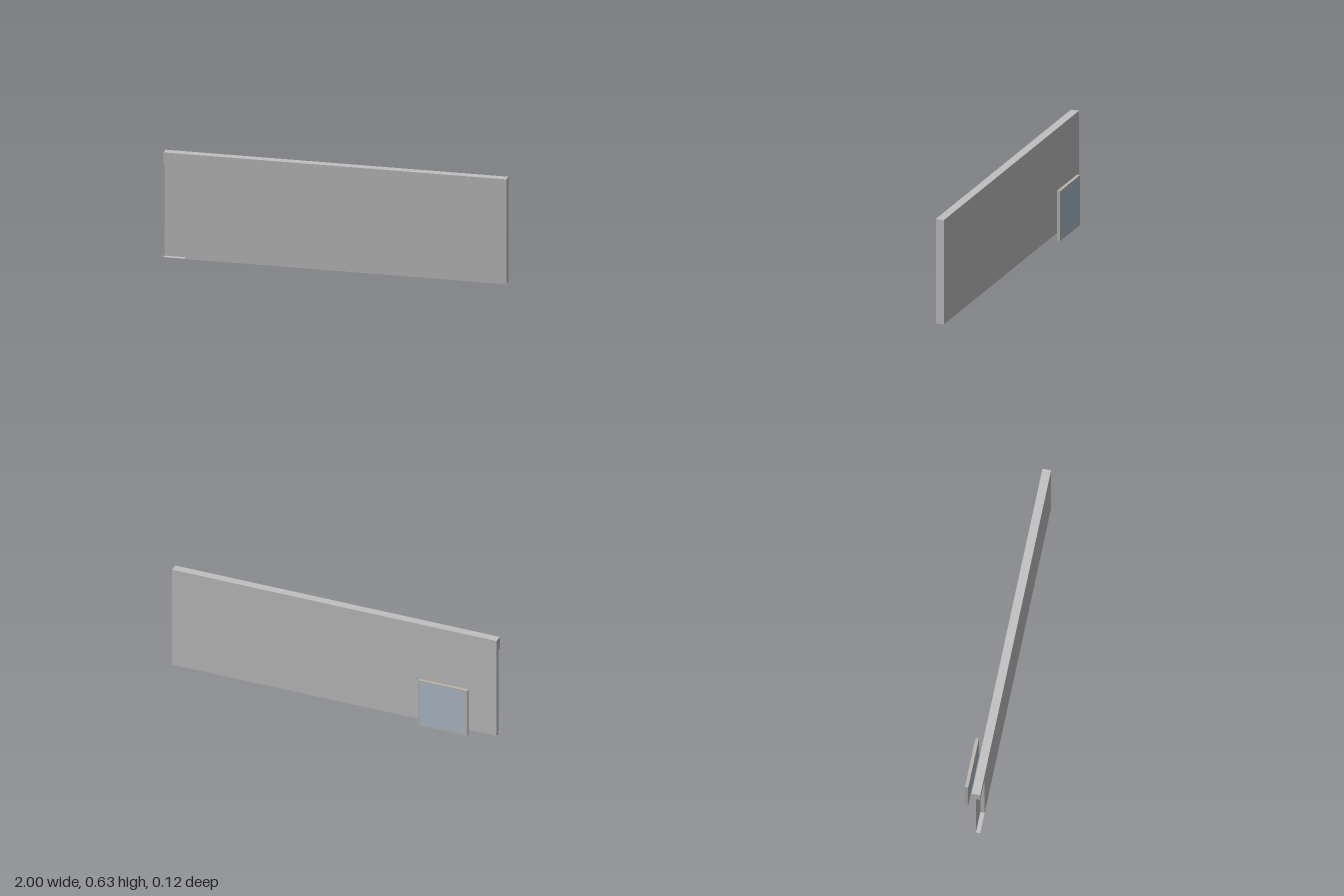
import * as THREE from 'three';

const wallGrey = new THREE.MeshStandardMaterial({ color: 0xc0c0c0 });
wallGrey.name = 'wallGrey';
const frameGrey = new THREE.MeshStandardMaterial({ color: 0xbab4ac });
frameGrey.name = 'frameGrey';
const paleBlue = new THREE.MeshStandardMaterial({ color: 0xb0bfcc });
paleBlue.name = 'paleBlue';

// Box given by its minimum and maximum corners
function box(name, material, [x0, y0, z0], [x1, y1, z1]) {
  const mesh = new THREE.Mesh(new THREE.BoxGeometry(x1 - x0, y1 - y0, z1 - z0), material);
  mesh.position.set((x0 + x1) / 2, (y0 + y1) / 2, (z0 + z1) / 2);
  mesh.name = name;
  return mesh;
}

export function createModel() {
  const model = new THREE.Group();
  model.name = 'wallWithPanel';

  const height = 0.627, back = 0.01, middle = 0.035, front = 0.06;
  const nicheX = -0.875, nicheTop = 0.552;

  // Rear half of the wall, full size
  model.add(box('wallBack', wallGrey, [-1, 0, back], [1, height, middle]));

  // Front half of the wall, cut away at one end to leave a niche
  const outline = new THREE.Shape([
    [nicheX, 0], [1, 0], [1, height], [-1, height], [-1, nicheTop], [nicheX, nicheTop],
  ].map(([x, y]) => new THREE.Vector2(x, y)));
  const wallFront = new THREE.Mesh(
    new THREE.ExtrudeGeometry(outline, { depth: front - middle, bevelEnabled: false }), wallGrey);
  wallFront.position.z = middle;
  wallFront.name = 'wallFront';
  model.add(wallFront);

  // Thin floor of the niche
  model.add(box('nicheFloor', wallGrey, [-1, 0, middle], [nicheX, 0.002, front]));

  // Small framed panel standing behind the wall
  const panel = new THREE.Group();
  panel.name = 'panel';
  panel.add(box('panelFrame', frameGrey, [-0.85, 0, -0.0595], [-0.55, 0.3, -0.0405]));
  panel.add(box('panelPaneBack', paleBlue, [-0.842, 0.008, -0.06], [-0.558, 0.292, -0.058]));
  panel.add(box('panelPaneFront', paleBlue, [-0.842, 0.008, -0.042], [-0.558, 0.292, -0.04]));
  model.add(panel);

  return model;
}
